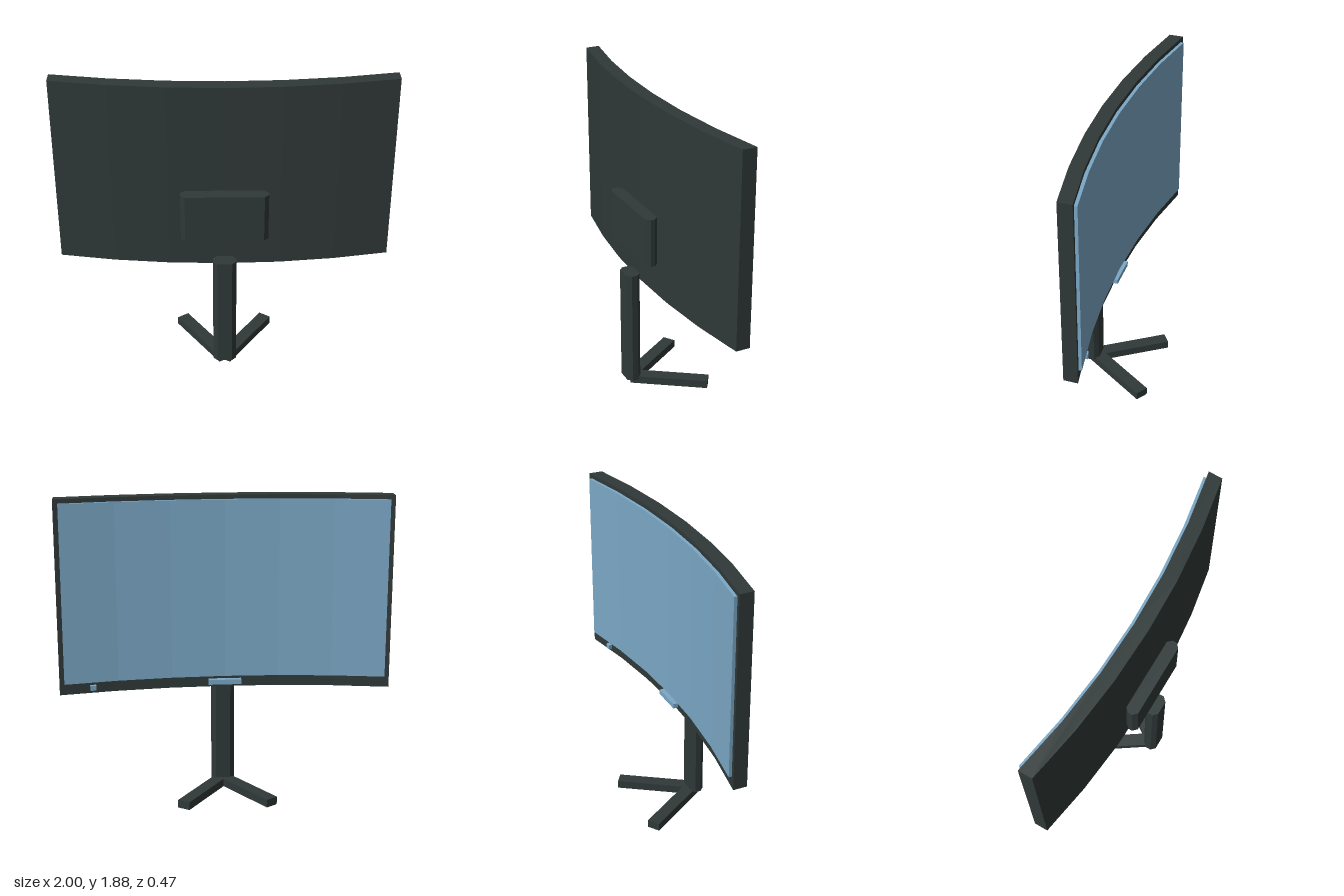
import * as THREE from 'three';

export function createModel() {
  const group = new THREE.Group();
  group.name = 'curvedMonitor';

  const casing = new THREE.MeshStandardMaterial({ color: 0x2f3938 });
  casing.name = 'dark casing';
  const glass = new THREE.MeshStandardMaterial({ color: 0x7ba8c6 });
  glass.name = 'blue glass';

  // Upright prism from an outline of [x, z] points
  function prism(name, outline, y0, y1, material) {
    const shape = new THREE.Shape(outline.map(([x, z]) => new THREE.Vector2(x, -z)));
    const geo = new THREE.ExtrudeGeometry(shape, { depth: y1 - y0, bevelEnabled: false });
    geo.rotateX(-Math.PI / 2).translate(0, y0, 0);
    const mesh = new THREE.Mesh(geo, material);
    mesh.name = name;
    group.add(mesh);
  }

  function box(name, size, pos, turn, material) {
    const mesh = new THREE.Mesh(new THREE.BoxGeometry(...size), material);
    mesh.name = name;
    mesh.position.set(...pos);
    mesh.rotation.y = turn;
    group.add(mesh);
  }

  // Curved slab in six flat facets; z0 is the screen side, z1 the other side
  function curved(halfWidth, z0, z1) {
    const near = [], far = [];
    for (let i = -3; i <= 3; i++) {
      const x = (halfWidth * i) / 3;
      near.push([x, z0 - 0.104 * x * x]);
      far.unshift([x, z1 - 0.104 * x * x]);
    }
    return near.concat(far);
  }

  // Rectangle with cut corners
  function chamfered(w, z0, z1, c) {
    return [[-w, z0 + c], [-w + c, z0], [w - c, z0], [w, z0 + c],
      [w, z1 - c], [w - c, z1], [-w + c, z1], [-w, z1 - c]];
  }

  // Display
  prism('panelBody', curved(1, 0.036, 0.122), 0.7, 1.88, casing);
  prism('screen', curved(0.97, 0.016, 0.038), 0.77, 1.855, glass);

  // Trim on the lower bezel
  box('bezelPlate', [0.2, 0.03, 0.036], [0, 0.735, 0.018], 0, glass);
  box('powerButton', [0.035, 0.03, 0.03], [0.8, 0.735, -0.042], 0.16, glass);

  // Mount block and column
  prism('mountSpacer', [[-0.1, 0.1], [0.1, 0.1], [0.1, 0.13], [-0.1, 0.13]], 0.95, 1.18, casing);
  prism('mountBlock', chamfered(0.26, 0.122, 0.2, 0.026), 0.915, 1.215, casing);
  prism('standColumn', chamfered(0.071, 0.147, 0.236, 0.026), 0.035, 0.77, casing);

  // Two splayed feet
  for (const side of [-1, 1]) {
    const dx = 0.27 * side, dz = -0.402;
    box(side > 0 ? 'leftFoot' : 'rightFoot', [0.08, 0.05, Math.hypot(dx, dz)],
      [dx / 2, 0.025, -0.014], Math.atan2(dx, dz), casing);
  }

  return group;
}
